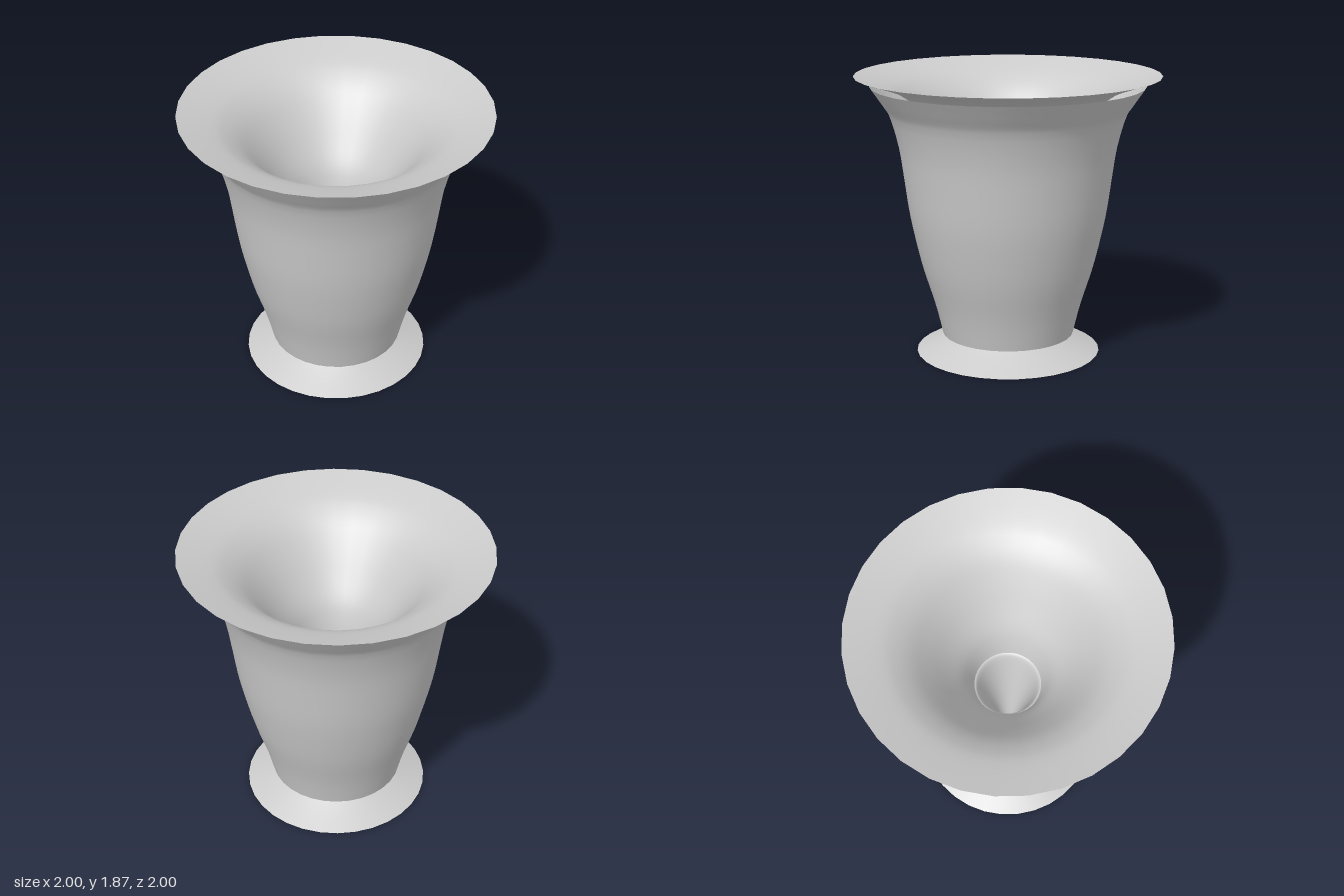
import * as THREE from 'three';

const SEGMENTS = 32;

// Smoothly turned open surface through a few [radius, height] points.
function turned(name, points, material, samples) {
  const vectors = points.map(([r, y]) => new THREE.Vector2(r, y));
  const profile = new THREE.SplineCurve(vectors).getPoints(samples);
  const mesh = new THREE.Mesh(new THREE.LatheGeometry(profile, SEGMENTS), material);
  mesh.name = name;
  return mesh;
}

export function createModel() {
  const group = new THREE.Group();
  group.name = 'flaredVase';
  const material = new THREE.MeshStandardMaterial({ color: 0xcccccc, side: THREE.DoubleSide });

  // Outer wall, open at both ends, flaring towards the top
  group.add(turned('outerWall', [
    [0.44, 0.125], [0.49, 0.33], [0.565, 0.57], [0.62, 0.8], [0.655, 0.98],
    [0.685, 1.2], [0.715, 1.4], [0.77, 1.6], [0.825, 1.69], [0.9, 1.8],
  ], material, 24));

  // Wide rim running down into a trumpet-shaped funnel
  group.add(turned('rimAndFunnel', [
    [0.22, 1.03], [0.25, 1.14], [0.3, 1.26], [0.4, 1.41], [0.5, 1.55],
    [0.6, 1.67], [0.7, 1.75], [0.8, 1.8], [1.0, 1.867],
  ], material, 28));

  // Tapering throat, stepped in from the funnel and open at its tip
  group.add(turned('throat', [
    [0.025, 0.225], [0.035, 0.225], [0.05, 0.36], [0.11, 0.66], [0.19, 0.98], [0.22, 1.03],
  ], material, 20));

  // Trumpet-shaped foot, rising inside the outer wall
  group.add(turned('foot', [
    [0.615, 0], [0.48, 0.06], [0.355, 0.125], [0.22, 0.22], [0.13, 0.36],
  ], material, 14));

  return group;
}
